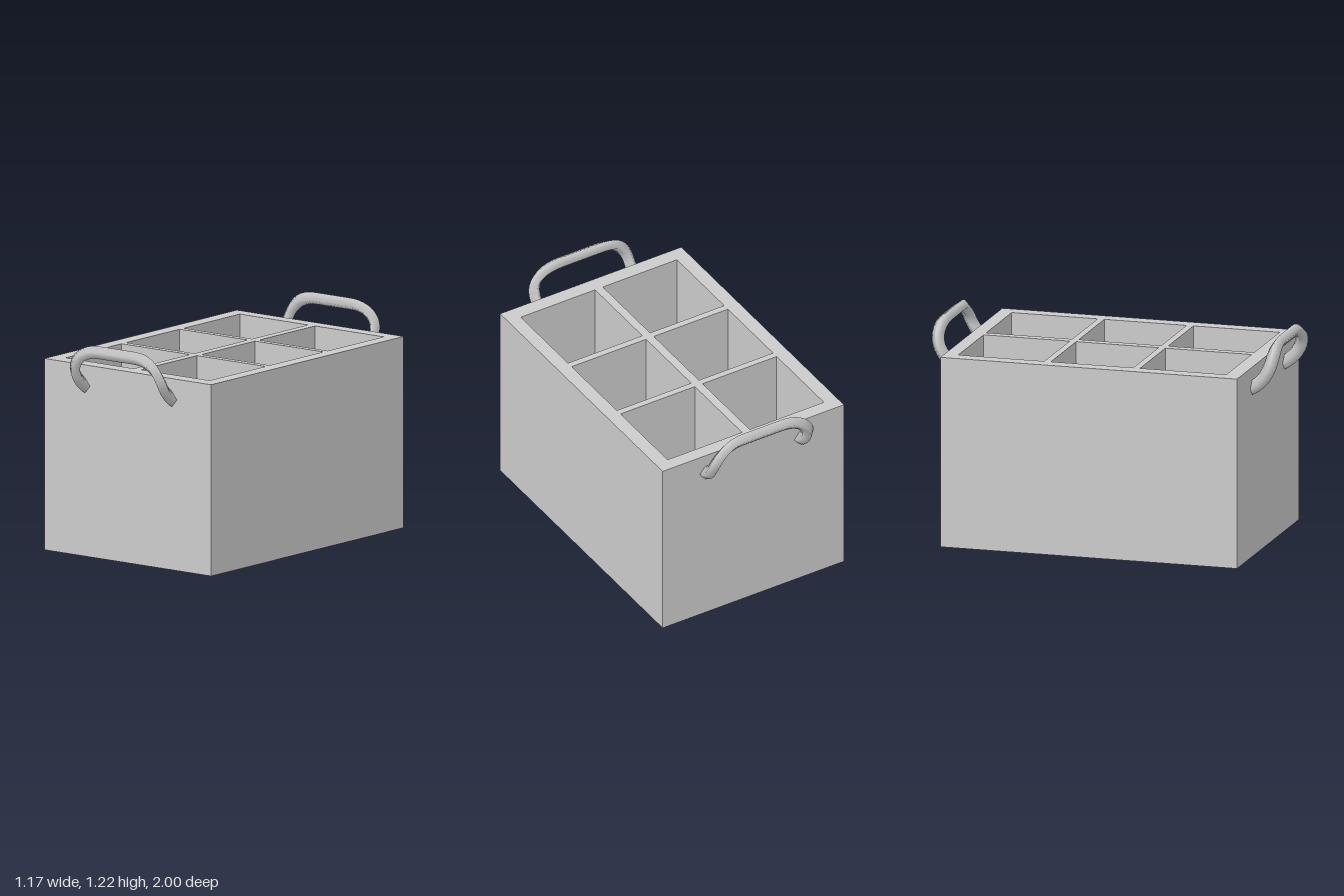
import * as THREE from 'three';

const material = new THREE.MeshStandardMaterial({ color: 0xcccccc });
const W = 0.587, D = 0.855, H = 1.077, FLOOR = 0.08;

// Counterclockwise rectangle, so that pocket walls face inwards
function rect(target, x0, x1, z0, z1) {
  target.moveTo(x0, -z1);
  target.lineTo(x1, -z1);
  target.lineTo(x1, -z0);
  target.lineTo(x0, -z0);
  target.closePath();
  return target;
}

// Outer walls and dividers as one slab with six pockets
function dividerGeometry() {
  const shape = rect(new THREE.Shape(), -W, W, -D, D);
  for (const [x0, x1] of [[-0.505, -0.025], [0.025, 0.507]]) {
    for (const [z0, z1] of [[-0.777, -0.281], [-0.243, 0.232], [0.271, 0.768]]) {
      shape.holes.push(rect(new THREE.Path(), x0, x1, z0, z1));
    }
  }
  const geo = new THREE.ExtrudeGeometry(shape, { depth: H - FLOOR, bevelEnabled: false });
  geo.rotateX(-Math.PI / 2);
  geo.translate(0, FLOOR, 0);
  return geo;
}

// Four-sided bar swept along a U that is wrapped on a cylinder of radius R
function handleGeometry() {
  const R = 0.215, CY = 1.148, CZ = 0.75, rN = 0.037, rB = 0.035;
  const deg = Math.PI / 180, half = 0.306, corner = 0.19, power = 0.87;
  const start = -74 * deg, bend = -33 * deg, top = 10 * deg;

  // Half of the U as [x, angle]: leg, full rounded corner, half of the bar
  const side = [];
  for (let i = 0; i < 8; i++) side.push([-half, start + (bend - start) * i / 8]);
  for (let i = 0; i <= 16; i++) {
    const t = i / 16 * Math.PI / 2;
    const c = Math.max(Math.cos(t), 0) ** power, s = Math.sin(t) ** power;
    side.push([-half + corner * (1 - c), bend + (top - bend) * s]);
  }
  for (let i = 1; i <= 4; i++) side.push([(corner - half) * (1 - i / 4.5), top]);
  const path = [...side, ...side.slice().reverse().map(([x, a]) => [-x, a])];
  const points = path.map(([x, a]) =>
    new THREE.Vector3(x, CY + R * Math.sin(a), CZ + R * Math.cos(a)));

  const pos = [], index = [], last = points.length - 1;
  points.forEach((p, i) => {
    const a = path[i][1];
    const T = points[Math.min(i + 1, last)].clone().sub(points[Math.max(i - 1, 0)]).normalize();
    const N = new THREE.Vector3(0, Math.sin(a), Math.cos(a));
    N.addScaledVector(T, -N.dot(T)).normalize();
    const B = T.clone().cross(N);
    for (const [n, b] of [[rN, 0], [0, rB], [-rN, 0], [0, -rB]]) {
      const v = p.clone().addScaledVector(N, n).addScaledVector(B, b);
      pos.push(v.x, v.y, v.z);
    }
    if (i === last) return;
    for (let j = 0; j < 4; j++) {
      const k = (j + 1) % 4, o = i * 4;
      index.push(o + j, o + k, o + 4 + j, o + k, o + 4 + k, o + 4 + j);
    }
  });
  const geo = new THREE.BufferGeometry();
  geo.setAttribute('position', new THREE.Float32BufferAttribute(pos, 3));
  geo.setIndex(index);
  geo.computeVertexNormals();
  return geo;
}

export function createModel() {
  const group = new THREE.Group();
  group.name = 'bottleCarrier';
  const add = (name, geo) => {
    const mesh = new THREE.Mesh(geo, material);
    mesh.name = name;
    group.add(mesh);
    return mesh;
  };

  add('wallsAndDividers', dividerGeometry());
  add('floor', new THREE.BoxGeometry(2 * W, FLOOR, 2 * D).translate(0, FLOOR / 2, 0));

  // Matching handles at both ends
  const handle = handleGeometry();
  add('frontHandle', handle).position.x = 0.006;
  const back = add('backHandle', handle);
  back.position.x = 0.006;
  back.rotation.y = Math.PI;
  return group;
}
